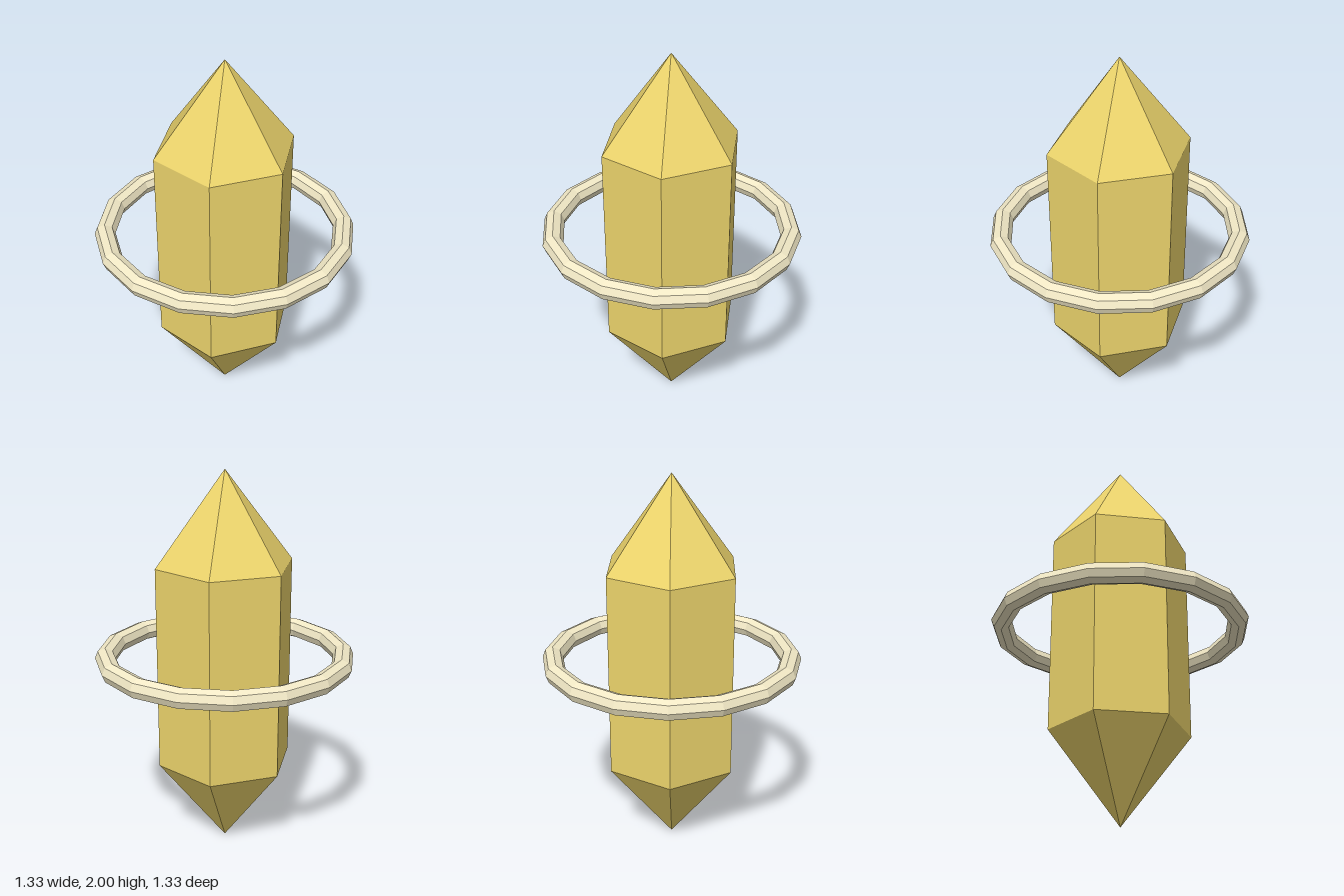
import * as THREE from 'three';

const SIDES = 6;
const RADIUS = 0.36;
const LOWER = 0.47; // shoulder heights of the crystal
const UPPER = 1.53;

export function createModel() {
  const model = new THREE.Group();
  model.name = 'ringedCrystal';

  const gold = new THREE.MeshStandardMaterial({ color: 0xecd46c, flatShading: true });
  const ivory = new THREE.MeshStandardMaterial({ color: 0xf2e9c6, flatShading: true });

  const add = (name, geometry, material, y) => {
    const mesh = new THREE.Mesh(geometry, material);
    mesh.name = name;
    mesh.position.y = y;
    model.add(mesh);
    return mesh;
  };

  // Hexagonal shaft, open where the points join it
  add('crystalShaft', new THREE.CylinderGeometry(RADIUS, RADIUS, UPPER - LOWER, SIDES, 1, true),
    gold, (LOWER + UPPER) / 2);

  // Pointed ends
  add('upperPoint', new THREE.ConeGeometry(RADIUS, 2 - UPPER, SIDES, 1, true), gold, (2 + UPPER) / 2);
  add('lowerPoint', new THREE.CylinderGeometry(RADIUS, 0, LOWER, SIDES, 1, true), gold, LOWER / 2);

  // Floating ring: 16 segments with an octagonal section
  const ring = add('ring', new THREE.TorusGeometry(0.613, 0.053, 8, 16), ivory, 1.042);
  ring.rotation.x = Math.PI / 2;

  return model;
}
